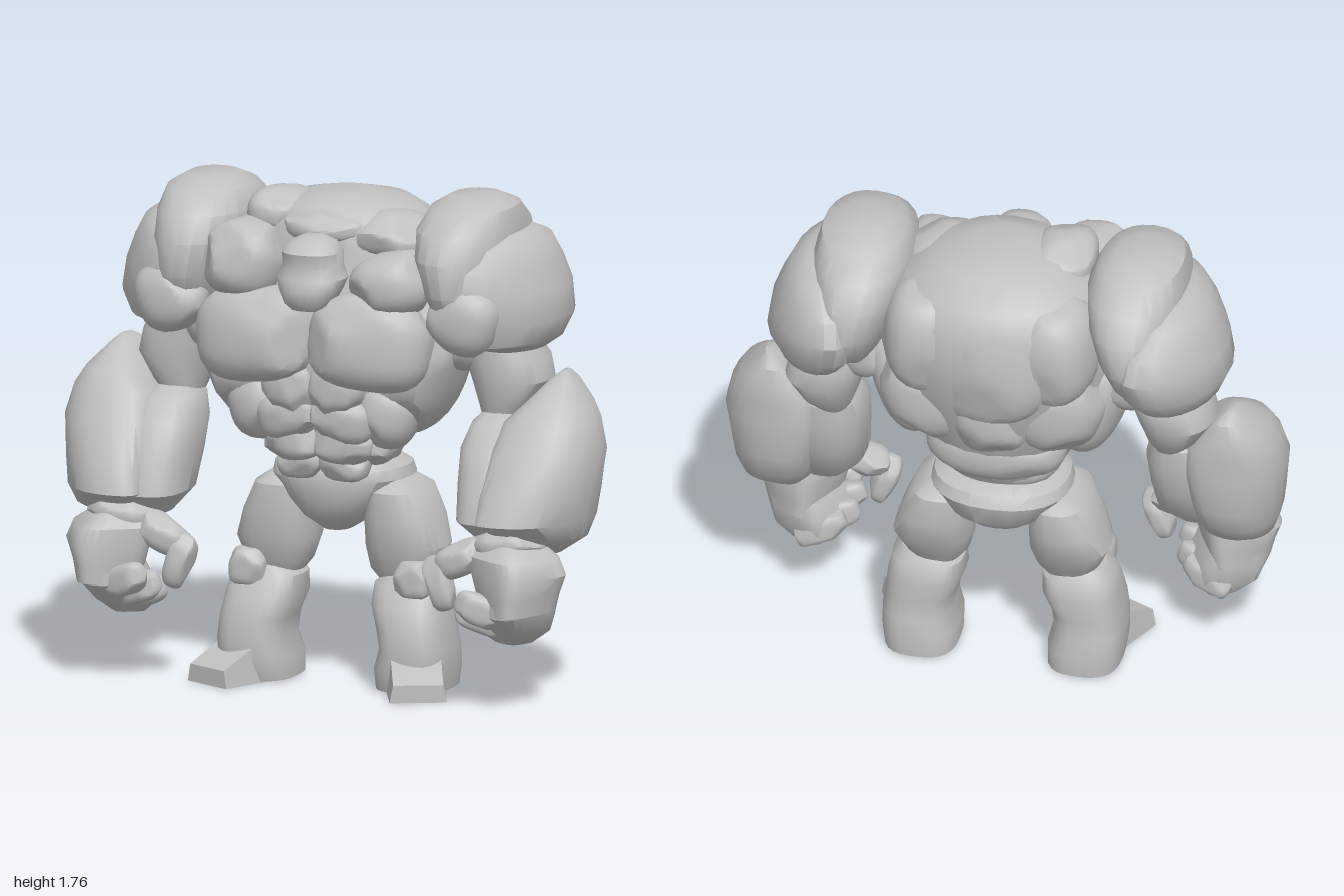
import * as THREE from 'three';
import { mergeVertices, toCreasedNormals } from 'three/addons/utils/BufferGeometryUtils.js';

const stone = new THREE.MeshStandardMaterial({ color: 0xc0c0c0 });
stone.name = 'grey stone';

// Small seeded random generator
function seeded(seed) {
  let s = seed * 7919 + 17;
  return () => ((s = (s * 16807) % 2147483647) / 2147483647);
}

// Mirrors to the right side when side is -1, and keeps strong edges sharp
function finish(name, geo, side) {
  if (side < 0) {
    geo.scale(-1, 1, 1);
    geo.index.array.reverse();
  }
  const mesh = new THREE.Mesh(toCreasedNormals(geo, 0.65), stone);
  mesh.name = name;
  return mesh;
}

// Rounded boulder: a superellipsoid with a few chiselled planes
let count = 0;
function rock(name, pos, size, { rot = [0, 0, 0], n = 2.6, cut = 0.93, side = 1, seed = ++count } = {}) {
  let geo = new THREE.IcosahedronGeometry(1, 5);
  geo.deleteAttribute('uv');
  geo.deleteAttribute('normal');
  geo = mergeVertices(geo, 1e-4);
  const rand = seeded(seed), planes = [];
  for (let i = 0; i < 9; i++) {
    planes.push(new THREE.Vector3(rand() * 2 - 1, rand() * 2 - 1, rand() * 2 - 1).normalize());
  }
  const p = geo.attributes.position, v = new THREE.Vector3();
  for (let i = 0; i < p.count; i++) {
    v.fromBufferAttribute(p, i);
    const sum = Math.abs(v.x) ** n + Math.abs(v.y) ** n + Math.abs(v.z) ** n;
    v.multiplyScalar(sum ** (-1 / n));
    for (const q of planes) {
      const over = v.dot(q) - cut;
      if (over > 0) v.addScaledVector(q, -over);
    }
    p.setXYZ(i, v.x, v.y, v.z);
  }
  geo.scale(...size);
  geo.applyMatrix4(new THREE.Matrix4().makeRotationFromEuler(new THREE.Euler(...rot)));
  geo.translate(...pos);
  return finish(name, geo, side);
}

// Stack of level rings, bottom to top, each given by its bounds [y, x0, x1, z0, z1].
// yaw turns the cross-section inside its bounds; bend [k, z] curves the ends inwards.
function loft(name, rings, { n = 3, side = 1, seg = 24, yaw = 0, bend = [0, 0] } = {}) {
  const pos = [], idx = [], e = 2 / n;
  const power = (c) => Math.sign(c) * Math.abs(c) ** e;
  const section = [];
  for (let i = 0; i < seg; i++) {
    const a = (i / seg) * Math.PI * 2;
    section.push(new THREE.Vector2(power(Math.cos(a)), power(Math.sin(a)))
      .rotateAround(new THREE.Vector2(), yaw));
  }
  const mx = Math.max(...section.map((p) => p.x)), mz = Math.max(...section.map((p) => p.y));
  const add = (x, y, z) => pos.push(x - bend[0] * (z - bend[1]) ** 2, y, z);
  for (const [y, x0, x1, z0, z1] of rings) {
    for (const p of section) {
      add((x0 + x1) / 2 + p.x / mx * (x1 - x0) / 2, y, (z0 + z1) / 2 + p.y / mz * (z1 - z0) / 2);
    }
  }
  const last = rings.length - 1;
  for (let r = 0; r < last; r++) {
    for (let i = 0; i < seg; i++) {
      const a = r * seg + i, b = r * seg + (i + 1) % seg;
      idx.push(a, a + seg, b, b, a + seg, b + seg);
    }
  }
  for (const r of [0, last]) {
    const [y, x0, x1, z0, z1] = rings[r], c = pos.length / 3;
    add((x0 + x1) / 2, y, (z0 + z1) / 2);
    for (let i = 0; i < seg; i++) {
      const a = r * seg + i, b = r * seg + (i + 1) % seg;
      if (r) idx.push(a, c, b); else idx.push(a, b, c);
    }
  }
  const geo = new THREE.BufferGeometry();
  geo.setAttribute('position', new THREE.Float32BufferAttribute(pos, 3));
  geo.setIndex(idx);
  return finish(name, geo, side);
}

function torso() {
  const g = new THREE.Group();
  g.name = 'torso';
  const body = [[.77, .19, -.17, .1], [.82, .21, -.2, .18], [.9, .25, -.25, .22], [1, .31, -.29, .26],
    [1.12, .38, -.34, .28], [1.25, .42, -.38, .27], [1.4, .42, -.42, .25], [1.55, .4, -.41, .2],
    [1.64, .33, -.37, .2], [1.71, .22, -.28, .15], [1.74, .09, -.15, .06]];
  g.add(
    loft('ribcage', body.map(([y, w, z0, z1]) => [y, -w, w, z0, z1]), { n: 2.15 }),
    loft('pelvis', [[.55, -.05, .05, -.06, .08], [.6, -.13, .13, -.17, .14], [.66, -.19, .19, -.24, .17],
      [.74, -.25, .25, -.26, .18], [.78, -.24, .24, -.24, .17], [.81, -.2, .2, -.18, .14]], { n: 2.3 }),
    rock('upperBack', [0, 1.42, -.27], [.24, .26, .155], { rot: [.1, 0, 0] }),
    rock('middleBack', [0, 1.16, -.22], [.16, .16, .15], { cut: 1 }),
    rock('lowerBack', [0, .96, -.13], [.25, .13, .155], { cut: 1, n: 2.4 }),
    rock('waistRock', [0, .85, -.03], [.21, .09, .17], { cut: 1 }),
  );
  for (const side of [1, -1]) {
    g.add(
      rock('pectoral', [.212, 1.265, .23], [.22, .17, .15], { side, n: 3, cut: 1, rot: [-.08, .15, -.08], seed: 5 }),
      rock('lat', [.33, 1.17, .02], [.13, .26, .25], { side, rot: [0, 0, -.3], seed: 8 }),
      rock('backLat', [.23, 1.2, -.17], [.17, .2, .17], { side, rot: [0, 0, -.3], cut: .97, seed: 11 }),
      rock('shoulderBlade', [.21, 1.45, -.23], [.17, .21, .165], { side, rot: [0, .25, 0], cut: .97, seed: 14 }),
      rock('oblique', [.22, 1.0, .1], [.12, .13, .16], { side, rot: [0, .3, -.3], seed: 21 }),
      rock('hipRock', [.16, .88, .08], [.08, .08, .12], { side, rot: [0, 0, -.2], seed: 23 }),
    );
    // Stomach plates in rows, narrowing towards the waist
    [[1.08, .1, .095, .235], [.98, .115, .08, .215], [.89, .105, .07, .185], [.81, .09, .06, .14]]
      .forEach(([y, x, h, z], i) => g.add(rock('abdominal', [x * .85, y, z], [x, h, .085],
        { side, n: 3.2, cut: .98, rot: [.12, .15, -.12], seed: 31 + i })));
  }
  // Uneven collar rocks around the head
  g.add(
    rock('collarRight', [-.28, 1.52, .18], [.145, .14, .17], { rot: [0, 0, -.2] }),
    rock('collarLeft', [.28, 1.47, .18], [.15, .115, .17], { rot: [0, 0, .2] }),
    rock('neckRockRight', [-.21, 1.66, .02], [.11, .09, .15]),
    rock('neckRockLeft', [.22, 1.61, .04], [.14, .09, .16], { rot: [0, 0, -.2] }),
    rock('cowl', [0, 1.64, .06], [.17, .07, .16]),
  );
  return g;
}

function head() {
  const g = new THREE.Group();
  g.name = 'head';
  g.add(loft('skull', [[1.38, -.06, .06, .24, .35], [1.4, -.085, .085, .2, .37], [1.45, -.11, .11, .16, .38],
    [1.49, -.125, .125, .15, .365], [1.53, -.105, .105, .15, .35], [1.58, -.105, .105, .15, .36],
    [1.615, -.08, .08, .17, .33], [1.635, -.035, .035, .21, .28]], { n: 2.3 }));
  return g;
}

function arm(side) {
  const g = new THREE.Group();
  g.name = side > 0 ? 'leftArm' : 'rightArm';
  g.add(
    // Shoulder boulders
    loft('innerShoulder', [[1.26, .44, .58, -.22, .12], [1.34, .4, .64, -.34, .25], [1.45, .36, .65, -.4, .31],
      [1.57, .32, .66, -.39, .31], [1.66, .315, .66, -.33, .26], [1.73, .35, .64, -.23, .17],
      [1.765, .41, .58, -.14, .06]], { side, n: 2.2 }),
    loft('outerShoulder', [[1.235, .56, .74, -.22, .1], [1.27, .5, .79, -.33, .23], [1.35, .46, .825, -.4, .28],
      [1.45, .46, .81, -.43, .29], [1.54, .48, .775, -.4, .28], [1.61, .52, .74, -.32, .2],
      [1.645, .58, .69, -.2, .08]], { side, n: 2.1, bend: [.7, -.09] }),
    rock('frontShoulder', [.55, 1.37, .19], [.13, .13, .12], { side, rot: [0, 0, -.3], seed: 51 }),
    rock('armpit', [.46, 1.28, -.04], [.12, .14, .17], { side, seed: 52 }),
    // Upper arm and elbow
    loft('upperArm', [[.97, .54, .66, -.12, .06], [1.03, .52, .71, -.18, .08], [1.12, .49, .765, -.22, .1],
      [1.2, .46, .75, -.22, .1], [1.3, .45, .68, -.18, .1]], { side, n: 2.3 }),
    // Forearm slabs, leaning forwards
    loft('outerForearm', [[.54, .74, .86, .02, .13], [.6, .69, .95, -.06, .26], [.67, .67, .975, -.12, .37],
      [.76, .66, .985, -.15, .34], [.9, .64, 1, -.16, .26], [1, .66, .975, -.16, .2], [1.06, .72, .94, -.16, .15],
      [1.13, .78, .88, -.14, .04], [1.16, .82, .85, -.09, -.02]], { side, n: 2.6, bend: [.9, .03] }),
    loft('innerForearm', [[.58, .59, .74, .04, .22], [.66, .52, .76, -.04, .31], [.78, .51, .76, -.1, .28],
      [.9, .5, .76, -.12, .22], [.98, .52, .72, -.12, .14], [1.02, .56, .66, -.08, .06]], { side, n: 2.6 }),
    rock('wrist', [.73, .59, .2], [.13, .08, .13], { side, seed: 55 }),
    // Palm block above a closed fist, both turned inwards
    loft('palm', [[.36, .65, .895, .08, .42], [.42, .63, .91, .08, .42], [.49, .61, .935, .08, .42],
      [.55, .6, .91, .09, .4], [.61, .64, .82, .12, .31]], { side, n: 4, yaw: .55 }),
    loft('fist', [[.23, .66, .79, .11, .24], [.28, .6, .86, .09, .31], [.35, .6, .89, .08, .4],
      [.42, .64, .9, .09, .41]], { side, n: 3.5, yaw: .5 }),
  );
  // Curled fingertips, stepping up towards the front
  [[.67, .37, .35], [.65, .33, .28], [.66, .305, .21], [.69, .29, .14]].forEach(([x, y, z], i) => {
    g.add(rock('fingerTip', [x, y, z], [.095, .055, .045], { side, n: 3.5, cut: 1, rot: [0, .3, -.35], seed: 65 + i }));
  });
  g.add(
    rock('thumbBase', [.565, .53, .26], [.1, .06, .07], { side, n: 3, rot: [0, 0, .45], seed: 71 }),
    rock('thumbTip', [.49, .44, .28], [.048, .1, .055], { side, n: 3, rot: [0, 0, .3], seed: 72 }),
  );
  return g;
}

function leg(side) {
  const g = new THREE.Group();
  g.name = side > 0 ? 'leftLeg' : 'rightLeg';
  g.add(
    loft('thigh', [[.37, .16, .31, -.1, .06], [.42, .12, .35, -.13, .09], [.5, .1, .385, -.18, .11],
      [.6, .1, .355, -.21, .13], [.7, .11, .31, -.2, .12], [.74, .14, .25, -.14, .07]], { side, n: 2.6 }),
    rock('knee', [.31, .4, .08], [.065, .065, .06], { side, n: 5, cut: 1.1, seed: 81 }),
    loft('shin', [[.005, .16, .42, -.16, .16], [.08, .16, .43, -.165, .185], [.15, .18, .43, -.15, .18],
      [.22, .17, .42, -.14, .18], [.3, .14, .41, -.15, .15], [.37, .14, .395, -.13, .11],
      [.41, .18, .36, -.1, .08]], { side, n: 2.8 }),
  );
  // Wedge foot, low at the toes and turned outwards
  const box = new THREE.BoxGeometry(.2, .1, .3, 1, 1, 2);
  box.deleteAttribute('uv');
  box.deleteAttribute('normal');
  const foot = mergeVertices(box), p = foot.attributes.position;
  for (let i = 0; i < p.count; i++) {
    if (p.getY(i) < 0) continue;
    const z = p.getZ(i);
    p.setX(i, p.getX(i) * .88);
    p.setY(i, z > .1 ? .012 : z > -.1 ? .085 : .1);
  }
  foot.translate(0, .05, -.15);
  foot.rotateY(.45);
  foot.translate(.398, 0, .257);
  g.add(finish('foot', foot, side));
  return g;
}

export function createModel() {
  const model = new THREE.Group();
  model.name = 'stoneGiant';
  model.add(torso(), head());
  for (const side of [1, -1]) model.add(arm(side), leg(side));
  return model;
}
